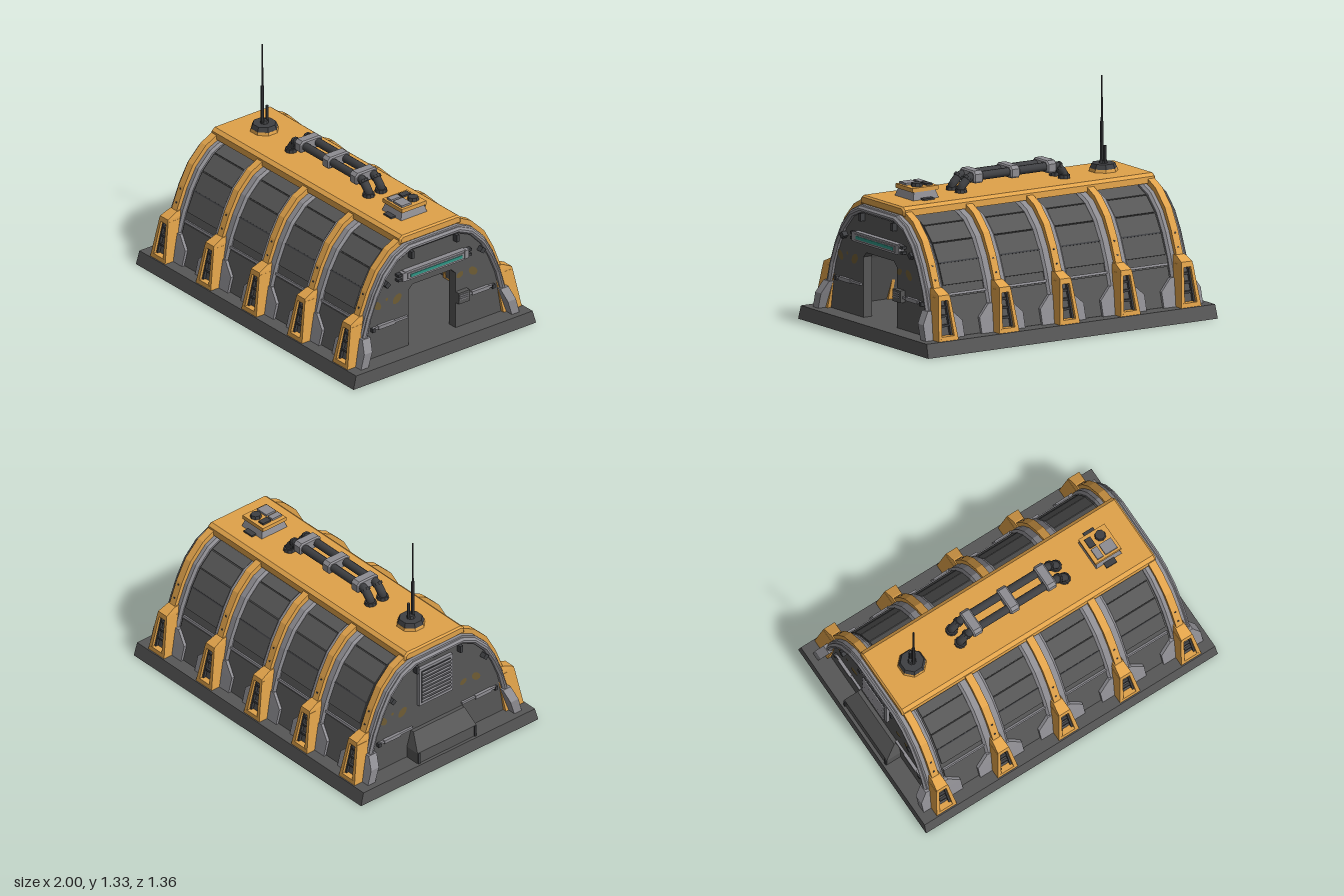
import * as THREE from 'three';

const mat = (name, color, side = THREE.FrontSide) => {
  const m = new THREE.MeshStandardMaterial({ color, side });
  m.name = name;
  return m;
};

// Half profiles as [z, y], from the foot to the roof
const HULL = [[.55, .08], [.468, .36], [.418, .48], [.357, .585], [.27, .67], [.18, .712]];
const INNER = [[.515, .08], [.435, .35], [.385, .46], [.33, .555], [.25, .635], [.17, .675]];
const FRAME = [[.57, .08], [.49, .36], [.437, .49], [.375, .6], [.285, .69], [.19, .732]];
const FRAME_IN = [[.523, .08], [.452, .35], [.403, .465], [.345, .565], [.262, .652], [.17, .692]];
const RIB = [[.59, .08], [.515, .36], [.46, .5], [.395, .62], [.3, .715], [.2, .765]];
const STEPS = [-2, -1, 0, 1, 2].map(i => i * .414);

export function createModel() {
  const root = new THREE.Group();
  const hab = new THREE.Group();
  hab.name = 'shelter';
  hab.rotation.y = -.0175;
  root.add(hab);

  const orange = mat('orange paint', 0xe0a24a);
  const shell = mat('dark grey shell', 0x575757);
  const grey = mat('light grey frame', 0x8e8d92);
  const dark = mat('charcoal fittings', 0x3f4043);
  const teal = mat('teal light', 0x2f9484);
  const ochre = mat('faded ochre', 0x6f5d34);

  const add = (parent, name, geo, m, x = 0, y = 0, z = 0) => {
    const mesh = new THREE.Mesh(geo, m);
    mesh.name = name;
    mesh.position.set(x, y, z);
    parent.add(mesh);
    return mesh;
  };
  const box = (p, name, m, w, h, d, x, y, z) => add(p, name, new THREE.BoxGeometry(w, h, d), m, x, y, z);
  const cyl = (p, name, m, r0, r1, h, n, x, y, z) => {
    const g = new THREE.CylinderGeometry(r0, r1, h, n, 1).toNonIndexed();
    g.computeVertexNormals();
    return add(p, name, g, m, x, y, z);
  };
  // Prism between two rectangles [x0, x1, z0, z1] at heights y0 and y1
  const taper = (p, name, m, y0, a, y1, b) => {
    let g = new THREE.BoxGeometry(1, 1, 1);
    const q = g.attributes.position;
    for (let i = 0; i < q.count; i++) {
      const top = q.getY(i) > 0, r = top ? b : a;
      q.setXYZ(i, r[q.getX(i) > 0 ? 1 : 0], top ? y1 : y0, r[q.getZ(i) > 0 ? 3 : 2]);
    }
    const groups = g.groups;
    g = g.toNonIndexed();
    g.computeVertexNormals();
    groups.forEach(s => g.addGroup(s.start, s.count, s.materialIndex));
    return add(p, name, g, m);
  };
  // Outline in the z-y plane extruded along x
  const alongX = (p, name, m, pts, x0, x1, bevel = 0) => {
    const shape = new THREE.Shape(pts.map(([z, y]) => new THREE.Vector2(-z, y)));
    const g = new THREE.ExtrudeGeometry(shape, {
      depth: x1 - x0 - 2 * bevel, bevelEnabled: bevel > 0, bevelThickness: bevel,
      bevelSize: bevel, bevelOffset: -bevel, bevelSegments: 1
    });
    g.translate(0, 0, bevel).rotateY(Math.PI / 2);
    return add(p, name, g, m, x0);
  };
  const mirror = pts => [...pts, ...pts.map(([z, y]) => [-z, y]).reverse()];
  const arch = (p, name, m, outer, inner, x0, x1, bevel) =>
    alongX(p, name, m, [...mirror(outer), ...mirror(inner).reverse()], x0, x1, bevel);

  // Base slab with a lighter underside
  taper(hab, 'base', [shell, shell, shell, grey, shell, shell],
    0, [-.988, .988, -.662, .662], .08, [-.984, .984, -.64, .64]);

  // Vault, its arches and the roof plate
  arch(hab, 'vaultShell', shell, HULL, INNER, -.85, .85);
  STEPS.forEach((x, i) => {
    const end = i === 0 || i === 4, w = end ? .06 : .075;
    arch(hab, 'archFrame', grey, FRAME, FRAME_IN, x - w, x + w, .014);
    arch(hab, 'archRib', orange, RIB, FRAME, x - .023, x + .023);
    if (end) {
      const s = Math.sign(x);
      arch(hab, 'endFrame', grey, FRAME.map(([z, y]) => [z - .007, y - (y > .1 ? .005 : 0)]), FRAME_IN,
        Math.min(s * .8, s * .9), Math.max(s * .8, s * .9), .012);
    }
  });
  box(hab, 'roofCore', shell, 1.68, .06, .36, 0, .715, 0);
  alongX(hab, 'roofPlate', orange, mirror([[.225, .728], [.222, .765], [.2, .782]]), -.86, .86, .01);

  // Long sides, built once and turned for the far side
  for (const turn of [0, Math.PI]) {
    const side = new THREE.Group();
    side.name = 'longSide';
    side.rotation.y = turn;
    hab.add(side);
    // Strip lying on one segment of the vault
    const onSegment = (name, m, i, t0, t1, w, thick, x, line = HULL) => {
      const [a, b] = [line[i], line[i + 1]];
      const dz = b[0] - a[0], dy = b[1] - a[1], t = (t0 + t1) / 2;
      const mesh = box(side, name, m, w, Math.hypot(dz, dy) * (t1 - t0), thick, x, a[1] + dy * t, a[0] + dz * t);
      mesh.rotation.x = Math.atan2(dz, dy);
    };
    for (const x of [-.621, -.207, .207, .621]) {
      for (let i = 0; i < 5; i++) onSegment('wallPanel', shell, i, i ? .02 : 0, i ? .98 : .78, .275, .016, x);
      onSegment('wallRail', grey, 0, .8, .85, .275, .026, x);
      onSegment('wallSeam', dark, 2, -.03, .04, .275, .02, x);
    }
    STEPS.forEach((x, i) => {
      const outer = s => (x * s > .8 ? .118 : .148);
      const l = x - outer(-1), r = x + outer(1);
      // Flared grey footing
      taper(side, 'archFooting', grey, .08, [l, r, .52, .574], .17, [l, r, .492, .55]);
      taper(side, 'archFooting', grey, .17, [l, r, .492, .55], .24, [x - .075, x + .075, .472, .53]);
      // Orange buttress with open face
      for (const s of [-1, 1]) {
        const span = (a, b) => [x + Math.min(s * a, s * b), x + Math.max(s * a, s * b)];
        taper(side, 'buttressCheek', orange, .08, [...span(.044, .068), .5, .632], .32, [...span(.022, .04), .46, .588]);
        taper(side, 'buttressRail', dark, .1, [...span(.03, .044), .55, .61], .31, [...span(.014, .024), .5, .574]);
      }
      taper(side, 'buttressCap', orange, .305, [x - .041, x + .041, .46, .591], .335, [x - .037, x + .037, .46, .585]);
      taper(side, 'buttressCap', orange, .335, [x - .037, x + .037, .46, .585], .365, [x - .03, x + .03, .46, .52]);
      taper(side, 'buttressSill', orange, .08, [x - .05, x + .05, .5, .632], .105, [x - .05, x + .05, .5, .628]);
      taper(side, 'buttressBack', shell, .09, [x - .05, x + .05, .5, .594], .31, [x - .028, x + .028, .48, .556]);
      for (const y of [.16, .215, .265])
        box(side, 'buttressRung', dark, .07 - (y - .15) * .2, .014, .03, x, y, .59 - (y - .1) * .17);
      // Rib bolts
      for (const t of [.3, .85]) onSegment('ribBolt', dark, 1, t, t + .06, .01, .006, x, RIB);
    });
  }

  // End walls: doorway at +x, closed wall at -x
  const half = HULL.map(([z, y]) => [z - .012, y - (y > .1 ? .01 : 0)]);
  const door = [[-.17, .08], [-.17, .43], [-.14, .46], [.14, .46], [.17, .43], [.17, .08]];
  alongX(hab, 'doorWall', shell, [...mirror(half), ...door], .815, .872);
  alongX(hab, 'rearWall', shell, mirror(half), -.872, -.815);

  const patch = (p, x, z, y, rz, ry, tilt) => {
    const g = new THREE.CircleGeometry(1, 10).scale(rz, ry, 1).rotateZ(tilt).rotateY(Math.PI / 2);
    add(p, 'paintPatch', g, ochre, x, y, z);
  };
  [[.12, .034, .022, .2], [.02, .028, .026, 0], [-.125, .042, .024, .6]].forEach(([z, a, b, t]) =>
    patch(hab, -.812, z, .405, a, b, t));

  for (const s of [1, -1]) {
    const end = new THREE.Group();
    end.name = s > 0 ? 'doorEnd' : 'rearEnd';
    end.rotation.y = s > 0 ? 0 : Math.PI;
    hab.add(end);
    [[.4, .405, .036, .022, -.8], [.255, .405, .037, .025, .7], [.33, .425, .01, .01, 0],
      [-.2, .41, .026, .018, .4], [-.295, .405, .037, .023, -.7]].forEach(([z, y, a, b, t]) => patch(end, .875, z, y, a, b, t));
    for (const d of [-1, 1]) {
      box(end, 'wallRail', grey, .016, .014, .25, .878, .27, d * .31);
      box(end, 'wallRailSleeve', grey, .022, .022, .12, .88, .27, d * .34);
      box(end, 'wallRailEnd', dark, .024, .024, .02, .88, .265, d * .435);
      box(end, 'liftingLug', dark, .04, .045, .02, .885, .665, d * .163);
      box(end, 'liftingLug', dark, .04, .03, .03, .885, .53, d * .345).rotation.x = d * .7;
    }
  }

  // Light bar and keypad beside the doorway
  box(hab, 'lightBar', grey, .04, .06, .44, .885, .545, 0);
  box(hab, 'lightBarRim', grey, .008, .036, .41, .907, .545, 0);
  box(hab, 'lightStrip', teal, .006, .018, .375, .912, .545, 0);
  for (const s of [-1, 1]) {
    box(hab, 'lightBarEnd', grey, .046, .052, .03, .885, .545, s * .225);
    for (const y of [.53, .56]) box(hab, 'lightBarClip', dark, .03, .015, .03, .885, y, s * .252);
  }
  box(hab, 'keypad', shell, .035, .07, .08, .885, .275, -.21);
  for (const y of [.27, .282, .294]) box(hab, 'keypadSlat', grey, .006, .006, .06, .904, y, -.205);

  // Rear louvre and sloped locker
  box(hab, 'louvreFrame', grey, .03, .25, .25, -.878, .53, -.02);
  box(hab, 'louvreBack', dark, .006, .216, .216, -.894, .53, -.02);
  for (let i = 0; i < 9; i++)
    box(hab, 'louvreSlat', grey, .014, .014, .216, -.895, .436 + i * .0235, -.02).rotation.z = .5;
  taper(hab, 'locker', shell, .08, [-.965, -.86, -.22, .22], .15, [-.965, -.86, -.22, .22]);
  taper(hab, 'locker', shell, .15, [-.965, -.86, -.22, .22], .25, [-.895, -.86, -.19, .19]);
  for (const z of [-.21, .21]) box(hab, 'lockerEdge', dark, .112, .07, .014, -.915, .115, z);

  // Antenna
  cyl(hab, 'antennaPlate', orange, .08, .085, .02, 8, -.65, .79, 0).rotation.y = Math.PI / 8;
  cyl(hab, 'antennaFoot', dark, .068, .08, .028, 8, -.65, .813, 0).rotation.y = Math.PI / 8;
  cyl(hab, 'antennaCollar', dark, .02, .026, .02, 8, -.65, .835, 0);
  cyl(hab, 'antennaMast', dark, .01, .011, .24, 8, -.65, .945, .015);
  cyl(hab, 'antennaTip', dark, .005, .006, .27, 6, -.65, 1.195, .015);
  cyl(hab, 'antennaStub', dark, .009, .009, .11, 8, -.65, .875, -.018);

  // Twin roof pipes with clamps and flanges
  for (const z of [-.045, .045]) {
    const path = new THREE.CurvePath();
    const v = [[-.352, .775], [-.352, .81], [-.3, .862], [.3, .862], [.352, .81], [.352, .775]]
      .map(([x, y]) => new THREE.Vector3(x, y, z));
    for (let i = 0; i < 5; i++) path.add(new THREE.LineCurve3(v[i], v[i + 1]));
    add(hab, 'roofPipe', new THREE.TubeGeometry(path, 48, .025, 10), dark);
    for (const s of [-1, 1]) {
      cyl(hab, 'pipeFlange', dark, .034, .036, .02, 10, s * .352, .792, z);
      cyl(hab, 'pipeCollar', dark, .03, .03, .016, 10, s * .308, .856, z).rotation.z = s * Math.PI / 4;
    }
  }
  for (const x of [-.25, 0, .25])
    alongX(hab, 'pipeClamp', grey, mirror([[.073, .828], [.08, .84], [.08, .88], [.062, .898]]), x - .032, x + .032, .008);

  // Roof vent unit
  taper(hab, 'ventBase', grey, .78, [.535, .71, -.095, .095], .83, [.55, .695, -.08, .08]);
  for (const s of [-1, 1]) box(hab, 'ventTab', dark, .07, .012, .04, .622, .786, s * .105);
  box(hab, 'ventRim', orange, .176, .024, .176, .622, .84, 0);
  box(hab, 'ventHatch', grey, .08, .014, .07, .652, .857, .04);
  box(hab, 'ventDuct', grey, .04, .014, .07, .578, .857, .04);
  box(hab, 'ventSlot', dark, .04, .012, .06, .578, .857, -.035);
  cyl(hab, 'ventCap', dark, .03, .034, .02, 8, .65, .862, -.04);

  return root;
}
